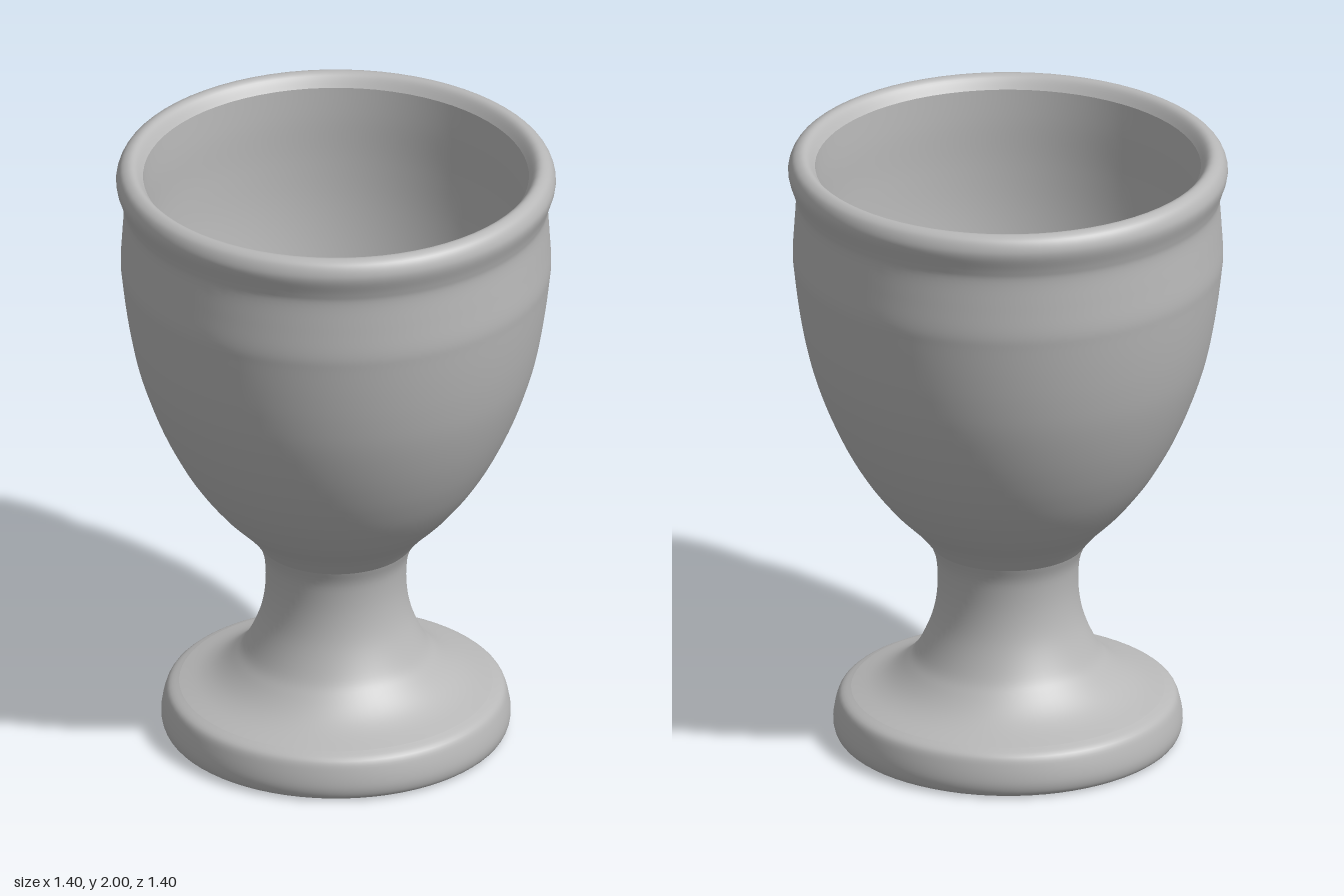
import * as THREE from 'three';

const SEGMENTS = 72;

export function createModel() {
  const group = new THREE.Group();
  group.name = 'eggCup';
  const clay = new THREE.MeshStandardMaterial({ color: 0xb8b8b8 });
  clay.name = 'grey clay';

  // Turn a smooth [radius, height] profile around the y axis
  function turn(name, profile, samples) {
    const curve = new THREE.SplineCurve(profile.map(([r, y]) => new THREE.Vector2(r, y)));
    const points = curve.getPoints(samples);
    points.forEach((p) => { p.x = Math.max(p.x, 0); });
    const mesh = new THREE.Mesh(new THREE.LatheGeometry(points, SEGMENTS), clay);
    mesh.name = name;
    group.add(mesh);
  }

  // Flat underside
  const underside = new THREE.Mesh(new THREE.CircleGeometry(0.525, SEGMENTS), clay);
  underside.rotation.x = Math.PI / 2;
  underside.name = 'underside';
  group.add(underside);

  // Rounded foot disc
  turn('foot', [
    [0.525, 0], [0.548, 0.015], [0.557, 0.05], [0.55, 0.1], [0.535, 0.138], [0.5, 0.156],
  ], 24);

  // Flared stem
  turn('stem', [
    [0.5, 0.156], [0.43, 0.178], [0.375, 0.207], [0.325, 0.25], [0.286, 0.3],
    [0.243, 0.4], [0.225, 0.5], [0.228, 0.6], [0.247, 0.66],
  ], 40);

  // Outside of the bowl, running into the rolled rim
  turn('bowl', [
    [0.247, 0.66], [0.296, 0.72], [0.375, 0.8], [0.453, 0.9], [0.513, 1.0],
    [0.561, 1.1], [0.6, 1.2], [0.631, 1.3], [0.653, 1.4], [0.669, 1.5],
    [0.681, 1.6], [0.686, 1.66], [0.681, 1.75], [0.676, 1.84], [0.683, 1.88],
    [0.699, 1.93], [0.699, 1.96], [0.685, 1.988], [0.66, 2.0], [0.638, 1.992], [0.615, 1.96],
  ], 100);

  // Hollow of the bowl
  turn('bowlInside', [
    [0.615, 1.96], [0.61, 1.85], [0.608, 1.7], [0.598, 1.55], [0.575, 1.4],
    [0.54, 1.25], [0.485, 1.1], [0.4, 0.97], [0.27, 0.87], [0.13, 0.825], [0, 0.815],
  ], 60);

  return group;
}
